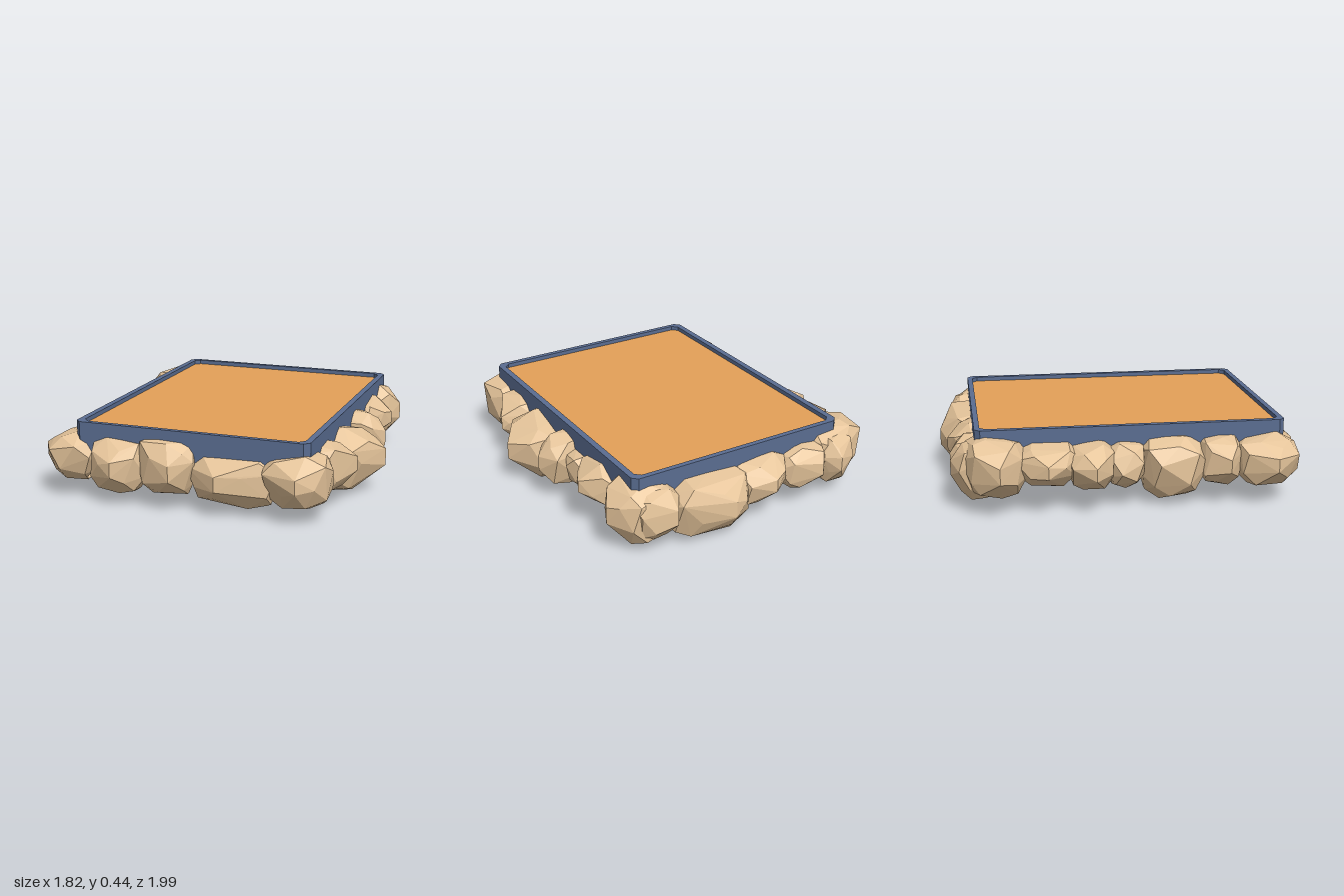
import * as THREE from 'three';
import { ConvexGeometry } from 'three/addons/geometries/ConvexGeometry.js';

// Rectangle with cut corners, drawn in (x, -z)
function chamferedRect(Type, x0, x1, z0, z1, c) {
  const pts = [
    [x0, z0 + c], [x0, z1 - c], [x0 + c, z1], [x1 - c, z1],
    [x1, z1 - c], [x1, z0 + c], [x1 - c, z0], [x0 + c, z0],
  ];
  return new Type(pts.map(([x, z]) => new THREE.Vector2(x, -z)));
}

// Horizontal slab of a shape between two heights
function slab(shape, y0, y1) {
  const geo = new THREE.ExtrudeGeometry(shape, { depth: y1 - y0, bevelEnabled: false });
  return geo.rotateX(-Math.PI / 2).translate(0, y0, 0);
}

function seeded(seed) {
  let s = seed * 7919 + 17;
  return () => (s = (s * 16807) % 2147483647) / 2147483647;
}

// The part of a convex polygon where dist(p) >= 0
function clip(poly, dist) {
  const out = [];
  poly.forEach((a, i) => {
    const b = poly[(i + 1) % poly.length], da = dist(a), db = dist(b);
    if (da >= 0) out.push(a);
    if (da * db < 0) out.push(a.clone().lerp(b, da / (da - db)));
  });
  return out;
}

// Edges of the opening under the tray, as signed distances
const OPENING = [(p) => p.x - 0.53, (p) => -0.615 - p.x, (p) => p.z - 0.83, (p) => -0.79 - p.z];

// Keep only the skin outside the opening, leaving the boulder hollow behind
function openUnderTray(geo) {
  const src = geo.attributes.position, pos = [];
  for (let i = 0; i < src.count; i += 3) {
    let rest = [0, 1, 2].map((k) => new THREE.Vector3().fromBufferAttribute(src, i + k));
    for (const dist of OPENING) {
      const keep = clip(rest, dist);
      for (let k = 2; k < keep.length; k++) {
        for (const p of [keep[0], keep[k - 1], keep[k]]) pos.push(p.x, p.y, p.z);
      }
      rest = clip(rest, (p) => -dist(p));
    }
  }
  const out = new THREE.BufferGeometry();
  out.setAttribute('position', new THREE.Float32BufferAttribute(pos, 3));
  out.computeVertexNormals();
  return out;
}

// Faceted boulder filling a box, narrower towards its underside, with an upright outer ridge
function boulder([x0, x1, y0, y1, z0, z1, ridge], seed) {
  const rand = seeded(seed), n = 28, pts = [];
  for (let i = 0; i < n; i++) {
    const v = 1 - (2 * i + 1) / n, a = i * 2.39996 + seed, r = Math.sqrt(1 - v * v);
    const p = new THREE.Vector3(r * Math.cos(a), v, r * Math.sin(a));
    p.set(...p.toArray().map((k) => Math.sign(k) * Math.abs(k) ** 0.62 + (rand() - 0.5) * 0.18));
    const taper = 1 - 0.22 * Math.max(0, -p.y);
    p.x *= taper;
    p.z *= taper;
    pts.push(p);
  }
  const box = new THREE.Box3().setFromPoints(pts), size = box.getSize(new THREE.Vector3());
  for (const p of pts) {
    p.sub(box.min).divide(size);
    p.set(x0 + p.x * (x1 - x0), y0 + p.y * (y1 - y0), z0 + p.z * (z1 - z0));
  }
  if (ridge) {
    for (const t of [0.4, 0.66]) pts.push(new THREE.Vector3(ridge[0], y0 + t * (y1 - y0), ridge[1]));
  }
  return openUnderTray(new ConvexGeometry(pts));
}

// Boulder boxes: x range, y range, z range, optional ridge position [x, z]
const BOULDERS = {
  front: [
    [-0.85, -0.54, 0.09, 0.37, 0.58, 0.93, [-0.88, 0.78]],
    [-0.59, -0.23, 0.05, 0.365, 0.66, 0.96, [-0.4, 0.99]],
    [-0.29, 0.04, 0.05, 0.385, 0.66, 0.95, [-0.07, 0.98]],
    [-0.02, 0.49, 0.03, 0.345, 0.66, 0.93, [0.18, 0.97]],
    [0.41, 0.76, 0.08, 0.37, 0.64, 0.94, [0.62, 0.98]],
  ],
  right: [
    [0.4, 0.78, 0.08, 0.38, 0.4, 0.7, [0.815, 0.48]],
    [0.36, 0.83, 0.01, 0.375, -0.01, 0.44, [0.905, 0.2]],
    [0.42, 0.79, 0.06, 0.385, -0.18, 0.04, [0.84, -0.07]],
    [0.42, 0.74, 0.1, 0.33, -0.32, -0.13],
    [0.4, 0.76, 0.12, 0.375, -0.62, -0.25, [0.79, -0.45]],
    [0.44, 0.74, 0.03, 0.395, -0.9, -0.57, [0.78, -0.74]],
  ],
  back: [
    [0.4, 0.68, 0.05, 0.37, -0.92, -0.64, [0.47, -0.95]],
    [-0.06, 0.5, 0, 0.36, -0.97, -0.6, [0.14, -1]],
    [-0.3, 0.06, 0.08, 0.36, -0.93, -0.64, [-0.15, -0.96]],
    [-0.56, -0.24, 0.09, 0.36, -0.92, -0.64, [-0.47, -0.95]],
    [-0.86, -0.46, 0.08, 0.4, -0.9, -0.54, [-0.9, -0.7]],
    [-0.75, -0.5, 0.06, 0.37, -0.92, -0.66, [-0.6, -0.95]],
  ],
  left: [
    [-0.84, -0.44, 0.12, 0.37, -0.62, -0.25, [-0.885, -0.45]],
    [-0.84, -0.44, 0.1, 0.36, -0.34, -0.08, [-0.91, -0.2]],
    [-0.81, -0.44, 0.09, 0.35, -0.13, 0.1],
    [-0.82, -0.42, 0.02, 0.37, 0.04, 0.44],
    [-0.8, -0.44, 0.09, 0.36, 0.38, 0.64, [-0.845, 0.53]],
  ],
};

export function createModel() {
  const group = new THREE.Group();
  const material = (name, color) => Object.assign(new THREE.MeshStandardMaterial({ color }), { name });
  const blue = material('slateBlue', 0x5a6d91);
  const sandMat = material('sandOrange', 0xe4a158);
  const stone = material('tanStone', 0xe6c59b);
  stone.side = THREE.DoubleSide;
  const add = (name, geo, mat, parent = group) => {
    const mesh = new THREE.Mesh(geo, mat);
    mesh.name = name;
    parent.add(mesh);
  };

  // Tray: raised rim, floor and the sand inside
  const rim = chamferedRect(THREE.Shape, -0.66, 0.66, -0.82, 0.87, 0.03);
  rim.holes.push(chamferedRect(THREE.Path, -0.625, 0.625, -0.79, 0.84, 0.03));
  add('trayRim', slab(rim, 0.27, 0.435), blue);
  const inside = chamferedRect(THREE.Shape, -0.625, 0.625, -0.79, 0.84, 0.03);
  add('trayFloor', slab(inside, 0.27, 0.402), blue);
  add('sand', slab(inside, 0.402, 0.411), sandMat);

  // Ring of boulders around the tray
  let seed = 1;
  for (const [side, list] of Object.entries(BOULDERS)) {
    const row = new THREE.Group();
    row.name = side + 'Boulders';
    list.forEach((b, i) => add(`${side}Boulder${i + 1}`, boulder(b, seed++), stone, row));
    group.add(row);
  }
  return group;
}
